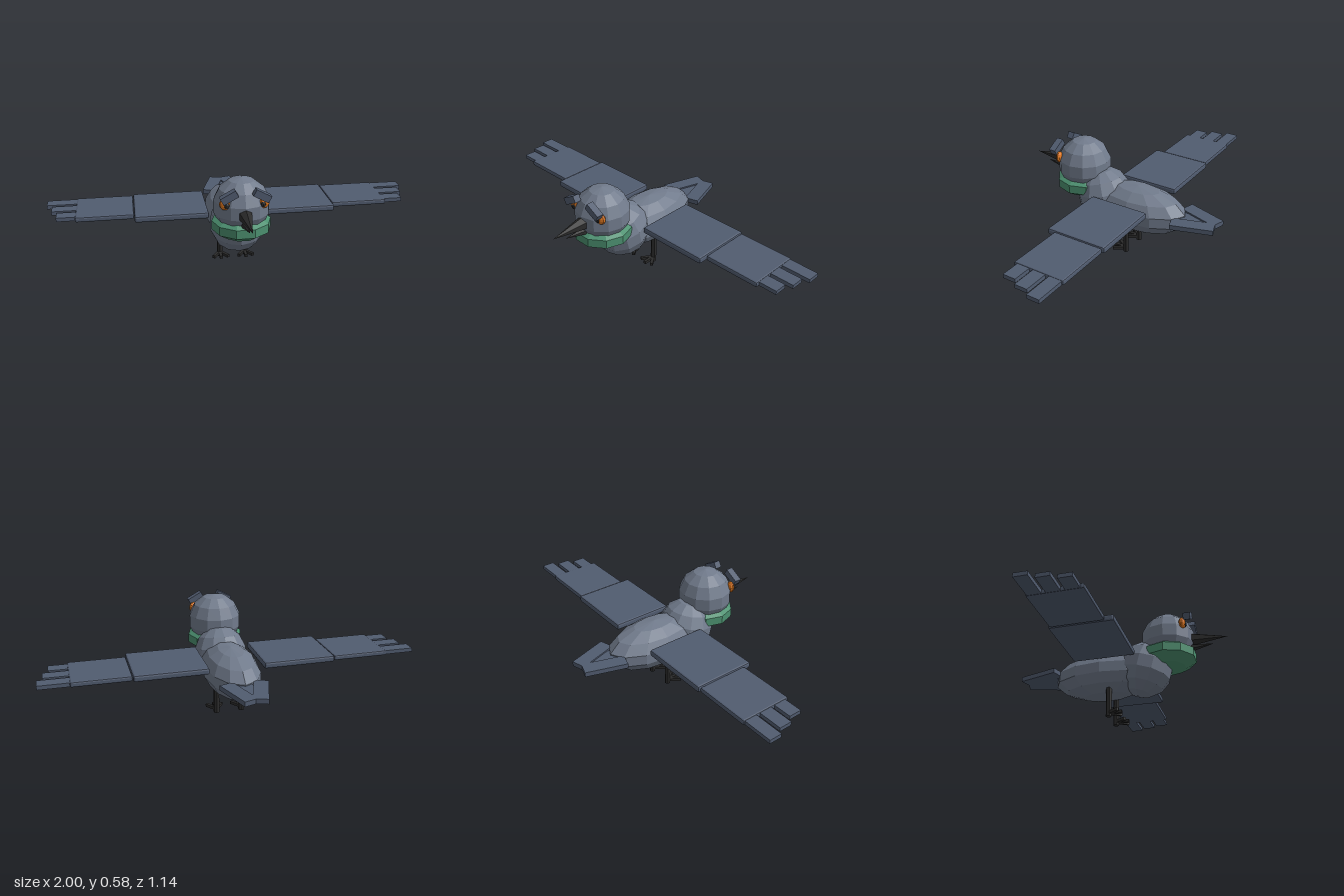
import * as THREE from 'three';
import { RoundedBoxGeometry } from 'three/addons/geometries/RoundedBoxGeometry.js';

const mat = (color) => new THREE.MeshStandardMaterial({ color, flatShading: true });

export function createModel() {
  const bird = new THREE.Group();
  bird.name = 'bird';
  const grey = mat(0x717b8c), slate = mat(0x515c70), green = mat(0x4c9070);
  const dark = mat(0x2b2b2b), orange = mat(0xe07820);

  const add = (name, geo, material, pos, rot = [0, 0, 0], parent = bird) => {
    const m = new THREE.Mesh(geo, material);
    m.name = name;
    m.position.set(...pos);
    m.rotation.set(...rot);
    parent.add(m);
    return m;
  };
  const ball = (rx, ry, rz, w = 12, h = 7) => new THREE.SphereGeometry(1, w, h).scale(rx, ry, rz);
  const box = (w, h, d) => new THREE.BoxGeometry(w, h, d);
  // cone pointing along +z
  const spike = (r, len) => new THREE.ConeGeometry(r, len, 6).rotateX(Math.PI / 2);

  // Body, chest, collar and head
  add('body', ball(0.147, 0.128, 0.292), grey, [0, 0.258, -0.1]);
  add('chest', ball(0.148, 0.153, 0.155), grey, [0, 0.276, 0.112], [0.25, 0, 0]);
  add('collar', ball(0.16, 0.075, 0.16, 10, 5), green, [0, 0.33, 0.245]);
  add('head', ball(0.147, 0.148, 0.147), grey, [0, 0.432, 0.245]);

  // Beak
  add('upperBeak', spike(0.045, 0.24), dark, [0, 0.421, 0.45], [0.03, 0, 0]);
  add('lowerBeak', spike(0.028, 0.16), dark, [0, 0.377, 0.415], [-0.1, 0, 0]);

  // Middle tail feather
  add('middleTailFeather', box(0.08, 0.018, 0.25), slate, [0, 0.272, -0.43]);

  for (const s of [1, -1]) {
    const side = s > 0 ? 'left' : 'right';

    // Eye and brow
    add(side + 'Eye', ball(0.028, 0.03, 0.017, 10, 7), orange, [s * 0.098, 0.478, 0.344], [0, s * 0.25, 0]);
    add(side + 'Pupil', ball(0.014, 0.015, 0.01, 8, 6), dark, [s * 0.09, 0.473, 0.357]);
    add(side + 'Brow', box(0.085, 0.037, 0.038), slate, [s * 0.081, 0.526, 0.371], [0, 0, -s * 0.5]);

    // Wing: two panels and three tip feathers
    const wing = new THREE.Group();
    wing.name = side + 'Wing';
    bird.add(wing);
    add('innerWing', new RoundedBoxGeometry(0.39, 0.035, 0.335, 1, 0.01), slate, [s * 0.341, 0.316, -0.072], [0, 0, 0], wing);
    add('outerWing', new RoundedBoxGeometry(0.305, 0.028, 0.28, 1, 0.008), slate, [s * 0.69, 0.316, -0.09], [0, 0, 0], wing);
    [[1, -0.187], [0.97, -0.096], [0.94, -0.005]].forEach(([tip, z], i) => {
      add('tipFeather' + (i + 1), box(tip - 0.8, 0.021, 0.07), slate, [s * (tip + 0.8) / 2, 0.316, z], [0, 0, 0], wing);
    });

    // Outer tail feather
    add(side + 'TailFeather', box(0.077, 0.026, 0.225), slate, [s * 0.057, 0.276, -0.456], [0, s * 0.305, 0]);

    // Leg with three splayed toes
    const leg = new THREE.Group();
    leg.name = side + 'Leg';
    leg.position.set(s * 0.07, 0, -0.067);
    bird.add(leg);
    add('shin', new THREE.CylinderGeometry(0.016, 0.016, 0.17, 6), dark, [0, 0.085, 0], [0, 0, 0], leg);
    for (const a of [-0.6, 0, 0.6]) {
      const toe = box(0.016, 0.016, 0.07).translate(0, 0, 0.037);
      add('toe', toe, dark, [0, 0.02, 0], [0, a, 0], leg);
    }
  }
  return bird;
}
